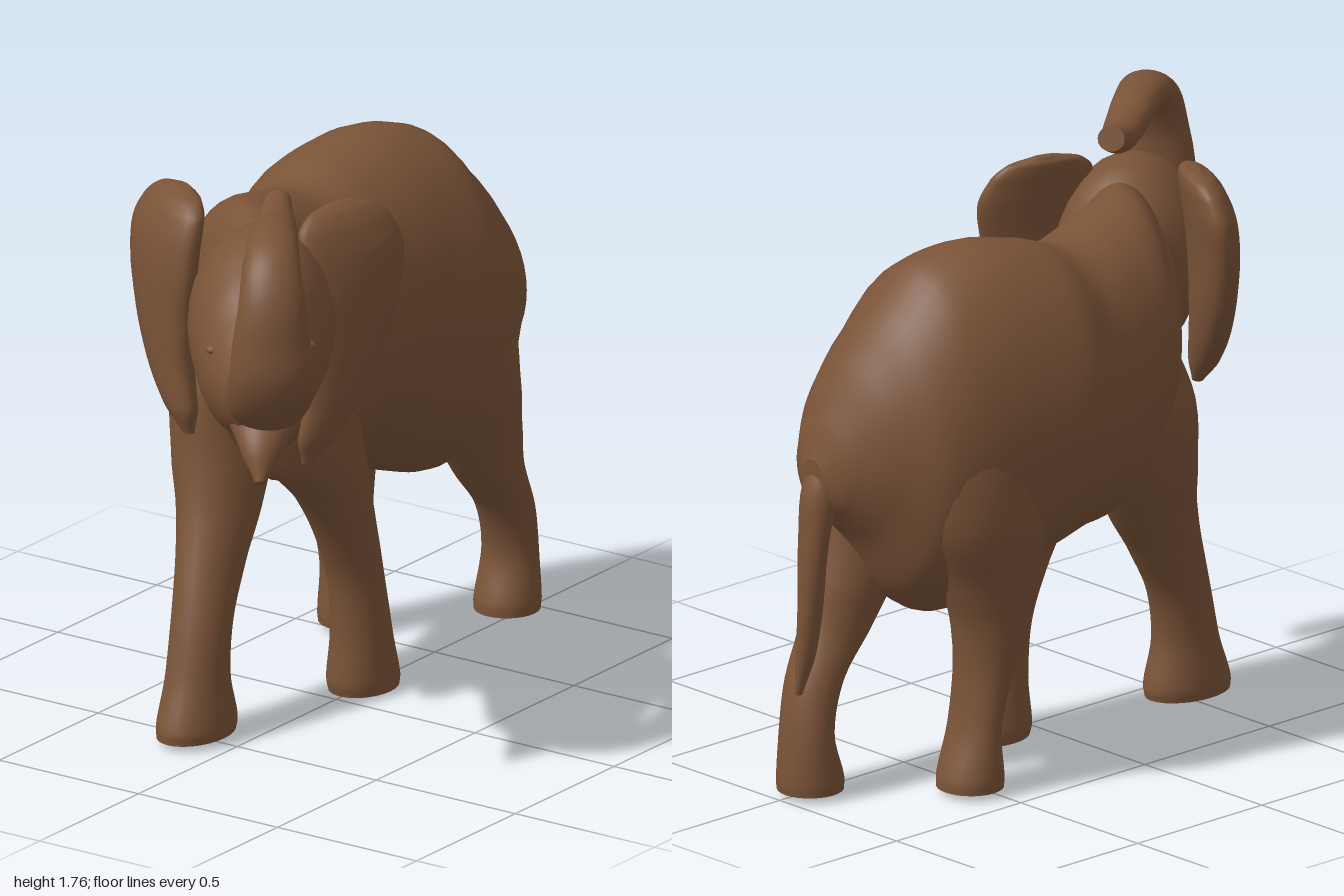
import * as THREE from 'three';

const V = (x, y, z) => new THREE.Vector3(x, y, z);
const X = V(1, 0, 0), Y = V(0, 1, 0), Z = V(0, 0, 1);

// Smooth closed skin through elliptical sections [x, y, z, a, b]:
// a lies along `side`, b along `up` (or square to the path when up is null).
function loft(rows, side, up, steps = 5, sides = 28) {
  const path = new THREE.CatmullRomCurve3(rows.map(r => V(r[0], r[1], r[2])));
  const size = new THREE.CatmullRomCurve3(rows.map(r => V(r[3], r[4], 0)), false, 'catmullrom', 0.4);
  const n = (rows.length - 1) * steps;
  const pos = [], idx = [];
  for (let i = 0; i <= n; i++) {
    const t = i / n, c = path.getPoint(t), s = size.getPoint(t);
    const u = up || path.getTangent(t).cross(side).normalize();
    for (let j = 0; j < sides; j++) {
      const q = j / sides * Math.PI * 2;
      const p = c.clone().addScaledVector(side, s.x * Math.cos(q)).addScaledVector(u, s.y * Math.sin(q));
      pos.push(p.x, p.y, p.z);
    }
  }
  for (let i = 0; i < n; i++) for (let j = 0; j < sides; j++) {
    const k = (j + 1) % sides, a = i * sides + j, b = i * sides + k;
    idx.push(a, b, b + sides, a, b + sides, a + sides);
  }
  // end caps with their own rim so they keep a crisp edge
  for (const end of [0, n]) {
    const base = pos.length / 3, c = path.getPoint(end / n);
    pos.push(...pos.slice(end * sides * 3, (end + 1) * sides * 3), c.x, c.y, c.z);
    for (let j = 0; j < sides; j++) {
      const a = base + j, b = base + (j + 1) % sides, m = base + sides;
      idx.push(...(end ? [a, b, m] : [b, a, m]));
    }
  }
  // turn the faces outward if the sections ran the other way round
  const at = i => V(pos[i * 3], pos[i * 3 + 1], pos[i * 3 + 2]);
  let volume = 0;
  for (let i = 0; i < idx.length; i += 3) volume += at(idx[i]).dot(at(idx[i + 1]).cross(at(idx[i + 2])));
  if (volume < 0) idx.reverse();
  const g = new THREE.BufferGeometry();
  g.setAttribute('position', new THREE.Float32BufferAttribute(pos, 3));
  g.setIndex(idx);
  g.computeVertexNormals();
  return g;
}

export function createModel() {
  const model = new THREE.Group();
  model.name = 'elephant';
  const brown = new THREE.MeshStandardMaterial({ color: 0x7a5337 });
  brown.name = 'brown hide';
  const add = (name, geometry) => {
    const mesh = new THREE.Mesh(geometry, brown);
    mesh.name = name;
    model.add(mesh);
    return mesh;
  };

  // Body, from neck to rump
  add('body', loft([
    [-0.48, 1.24, 0.04, 0.12, 0.2],
    [-0.40, 1.24, 0.00, 0.20, 0.34],
    [-0.25, 1.20, -0.125, 0.265, 0.41],
    [-0.10, 1.13, -0.16, 0.285, 0.45],
    [0.05, 1.11, -0.18, 0.30, 0.44],
    [0.20, 1.125, -0.20, 0.325, 0.475],
    [0.40, 1.10, -0.17, 0.325, 0.535],
    [0.57, 1.06, -0.135, 0.325, 0.535],
    [0.70, 1.04, -0.125, 0.285, 0.43],
    [0.80, 1.06, -0.09, 0.205, 0.27],
    [0.88, 1.02, -0.06, 0.115, 0.14],
    [0.915, 0.99, -0.05, 0.045, 0.06],
  ], Z, Y, 5, 40));

  // Legs, from foot to shoulder or hip
  const legs = {
    frontLegNear: [
      [0.148, 0.0, -0.005, 0.122, 0.095], [0.144, 0.04, -0.005, 0.124, 0.1], [0.127, 0.18, 0.0, 0.096, 0.09],
      [0.10, 0.35, 0.0, 0.086, 0.085], [0.052, 0.5, 0.0, 0.1, 0.09], [-0.015, 0.65, 0.0, 0.132, 0.1],
      [-0.1, 0.8, -0.01, 0.195, 0.118], [-0.15, 1.0, -0.035, 0.22, 0.13], [-0.16, 1.22, -0.1, 0.16, 0.1],
    ],
    frontLegFar: [
      [-0.51, 0.02, -0.14, 0.145, 0.1], [-0.507, 0.06, -0.14, 0.146, 0.104], [-0.495, 0.2, -0.145, 0.106, 0.09],
      [-0.46, 0.35, -0.155, 0.1, 0.088], [-0.39, 0.5, -0.175, 0.12, 0.095], [-0.31, 0.65, -0.2, 0.148, 0.115],
      [-0.25, 0.8, -0.23, 0.175, 0.138], [-0.2, 1.0, -0.25, 0.2, 0.145], [-0.18, 1.22, -0.22, 0.15, 0.11],
    ],
    hindLegNear: [
      [0.895, 0.02, -0.02, 0.1, 0.098], [0.897, 0.06, -0.02, 0.1, 0.1], [0.91, 0.2, -0.02, 0.074, 0.09],
      [0.87, 0.35, -0.01, 0.084, 0.09], [0.77, 0.5, 0.0, 0.12, 0.1], [0.695, 0.65, 0.01, 0.155, 0.125],
      [0.63, 0.8, 0.025, 0.185, 0.142], [0.57, 1.03, 0.005, 0.21, 0.165], [0.54, 1.27, -0.07, 0.14, 0.11],
    ],
    hindLegFar: [
      [0.54, 0.02, -0.325, 0.098, 0.102], [0.538, 0.06, -0.325, 0.096, 0.105], [0.522, 0.2, -0.325, 0.065, 0.095],
      [0.49, 0.35, -0.325, 0.078, 0.098], [0.46, 0.5, -0.325, 0.118, 0.112], [0.46, 0.65, -0.325, 0.165, 0.13],
      [0.50, 0.85, -0.325, 0.215, 0.16], [0.52, 1.1, -0.285, 0.21, 0.165], [0.52, 1.3, -0.22, 0.14, 0.11],
    ],
  };
  for (const [name, rows] of Object.entries(legs)) add(name, loft(rows, X, Z));

  // Head, turned to one side
  const across = V(0.65, 0, 0.76);
  add('head', loft([
    [-0.33, 1.30, -0.03, 0.17, 0.24],
    [-0.42, 1.32, 0.03, 0.215, 0.3],
    [-0.53, 1.33, 0.11, 0.215, 0.295],
    [-0.64, 1.30, 0.18, 0.19, 0.265],
    [-0.73, 1.275, 0.25, 0.16, 0.205],
    [-0.82, 1.265, 0.33, 0.12, 0.135],
    [-0.86, 1.265, 0.37, 0.06, 0.06],
  ], across, Y));

  // Trunk, raised and curled back over the forehead
  add('trunk', loft([
    [-0.74, 1.25, 0.27, 0.135, 0.13],
    [-0.825, 1.27, 0.345, 0.13, 0.11],
    [-0.88, 1.35, 0.398, 0.13, 0.092],
    [-0.89, 1.46, 0.4, 0.115, 0.08],
    [-0.878, 1.57, 0.395, 0.1, 0.072],
    [-0.845, 1.655, 0.368, 0.088, 0.063],
    [-0.78, 1.703, 0.325, 0.078, 0.056],
    [-0.68, 1.702, 0.26, 0.07, 0.054],
    [-0.57, 1.672, 0.19, 0.062, 0.05],
    [-0.48, 1.672, 0.125, 0.052, 0.045],
    [-0.415, 1.695, 0.085, 0.04, 0.038],
  ], across, null));

  // Pointed lower lip
  add('lowerLip', loft([
    [-0.64, 1.18, 0.20, 0.14, 0.1],
    [-0.76, 1.165, 0.285, 0.11, 0.08],
    [-0.85, 1.105, 0.34, 0.068, 0.055],
    [-0.91, 1.02, 0.375, 0.016, 0.014],
  ], across, null));

  // Ears: leaf-shaped sections [reach, y, halfLength, halfThickness, bulge]
  const leaf = [
    [0.026, 0.895, 0.02, 0.012, -0.01], [0.063, 0.98, 0.075, 0.032, 0], [0.12, 1.1, 0.11, 0.042, 0.005],
    [0.16, 1.25, 0.15, 0.047, 0.005], [0.18, 1.4, 0.18, 0.05, 0], [0.19, 1.52, 0.188, 0.05, -0.015],
    [0.18, 1.6, 0.165, 0.043, -0.035], [0.18, 1.64, 0.12, 0.032, -0.05], [0.18, 1.66, 0.045, 0.014, -0.06],
  ];
  function ear(name, root, along, out, y0, yScale, thickness) {
    const rows = leaf.map(([u, y, a, b, bulge]) => [
      root.x + along.x * u + out.x * bulge, y0 + (y - 0.895) * yScale,
      root.z + along.z * u + out.z * bulge, a, b * thickness]);
    add(name, loft(rows, along, out));
  }
  ear('earNear', V(-0.43, 0, 0.185), V(0.954, 0, 0.3), V(-0.3, 0, 0.954), 0.895, 1, 1.05);
  ear('earFar', V(-0.58, 0, -0.115), V(0.5, 0, -0.866), V(-0.866, 0, -0.5), 0.97, 0.93, 1.4);

  // Eyes
  for (const [name, x, z] of [['eyeNear', -0.622, 0.344], ['eyeFar', -0.817, 0.136]]) {
    const eye = add(name, new THREE.SphereGeometry(0.02, 16, 10));
    eye.position.set(x, 1.36, z);
    eye.scale.y = 0.7;
  }

  // Tail
  add('tail', loft([
    [0.80, 1.10, -0.06, 0.06, 0.07],
    [0.875, 0.96, -0.05, 0.058, 0.062],
    [0.91, 0.8, -0.05, 0.042, 0.05],
    [0.923, 0.6, -0.05, 0.04, 0.036],
    [0.937, 0.45, -0.045, 0.034, 0.026],
    [0.962, 0.33, -0.04, 0.014, 0.01],
  ], X, Z));

  return model;
}
